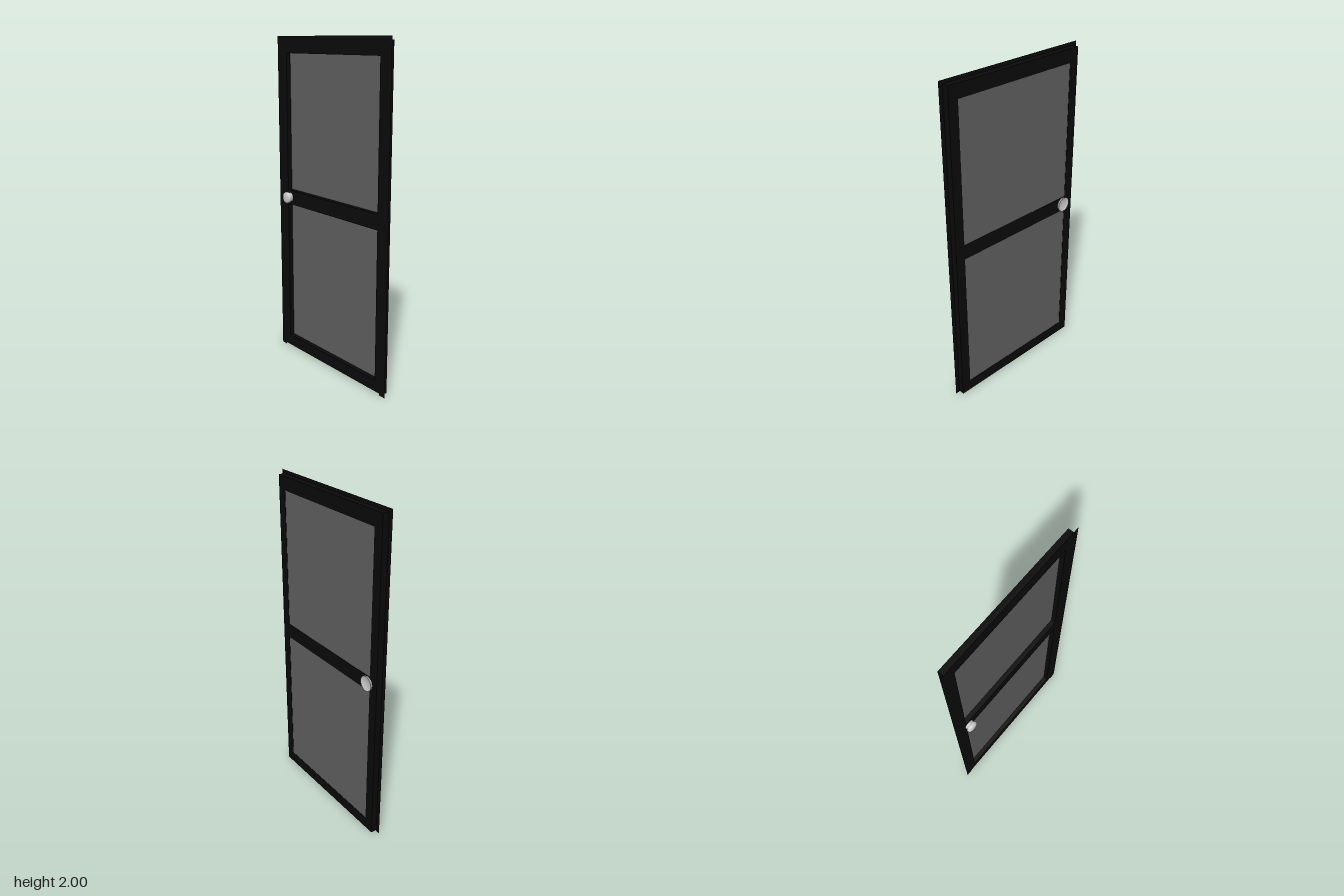
import * as THREE from 'three';

const BACK = -0.006, FRONT = 0.032;

function rect(Target, u0, u1, y0, y1) {
  const r = new Target();
  r.moveTo(u0, y0);
  r.lineTo(u1, y0);
  r.lineTo(u1, y1);
  r.lineTo(u0, y1);
  r.closePath();
  return r;
}

export function createModel() {
  const group = new THREE.Group();
  const black = new THREE.MeshStandardMaterial({ color: 0x0a0a0a });
  const blackSheet = new THREE.MeshStandardMaterial({ color: 0x0a0a0a, side: THREE.DoubleSide });
  const pane = new THREE.MeshStandardMaterial({ color: 0x606060 });
  const metal = new THREE.MeshStandardMaterial({ color: 0xcccccc, side: THREE.DoubleSide });

  const add = (name, geometry, material) => {
    const mesh = new THREE.Mesh(geometry, material);
    mesh.name = name;
    group.add(mesh);
    return mesh;
  };

  // Door leaf: stiles and rails around two openings
  const openings = [[0.08, 0.975], [1.065, 1.9]];
  const leaf = rect(THREE.Shape, -0.465, 0.465, 0.01, 1.98);
  for (const [y0, y1] of openings) leaf.holes.push(rect(THREE.Path, -0.405, 0.405, y0, y1));
  const leafGeometry = new THREE.ExtrudeGeometry(leaf, { depth: FRONT - BACK, bevelEnabled: false });
  leafGeometry.rotateY(Math.PI / 2).translate(BACK, 0, 0);
  add('doorFrame', leafGeometry, black);

  // Panes set close to the front face
  openings.forEach(([y0, y1], i) => {
    const geometry = new THREE.BoxGeometry(0.008, y1 - y0, 0.81);
    geometry.translate(0.026, (y0 + y1) / 2, 0);
    add(i ? 'upperPane' : 'lowerPane', geometry, pane);
  });

  // Thin flange behind the leaf: two jambs and a head, open at the floor
  const flange = new THREE.Shape([
    [-0.49, 0], [-0.445, 0], [-0.445, 1.95], [0.445, 1.95],
    [0.445, 0], [0.49, 0], [0.49, 2], [-0.49, 2],
  ].map(([u, y]) => new THREE.Vector2(u, y)));
  const flangeGeometry = new THREE.ShapeGeometry(flange);
  flangeGeometry.rotateY(Math.PI / 2).translate(-0.007, 0, 0);
  add('rearFlange', flangeGeometry, blackSheet);

  // Turned hardware; profile pairs are radius and distance from the door
  const turned = (name, profile, x, side) => {
    const geometry = new THREE.LatheGeometry(profile.map(([r, h]) => new THREE.Vector2(r, h)), 32);
    geometry.rotateZ(-side * Math.PI / 2).translate(x, 1.02, -0.386);
    add(name, geometry, metal);
  };
  turned('knob', [
    [0.03, 0], [0.031, 0.007], [0.029, 0.011], [0.034, 0.015], [0.036, 0.021],
    [0.036, 0.028], [0.033, 0.035], [0.026, 0.039], [0.014, 0.041], [0, 0.041],
  ], BACK, -1);
  turned('pullPlate', [
    [0.042, 0], [0.046, 0.011], [0.045, 0.013], [0.041, 0.012], [0.03, 0.008], [0.015, 0.006], [0, 0.005],
  ], FRONT, 1);

  return group;
}
